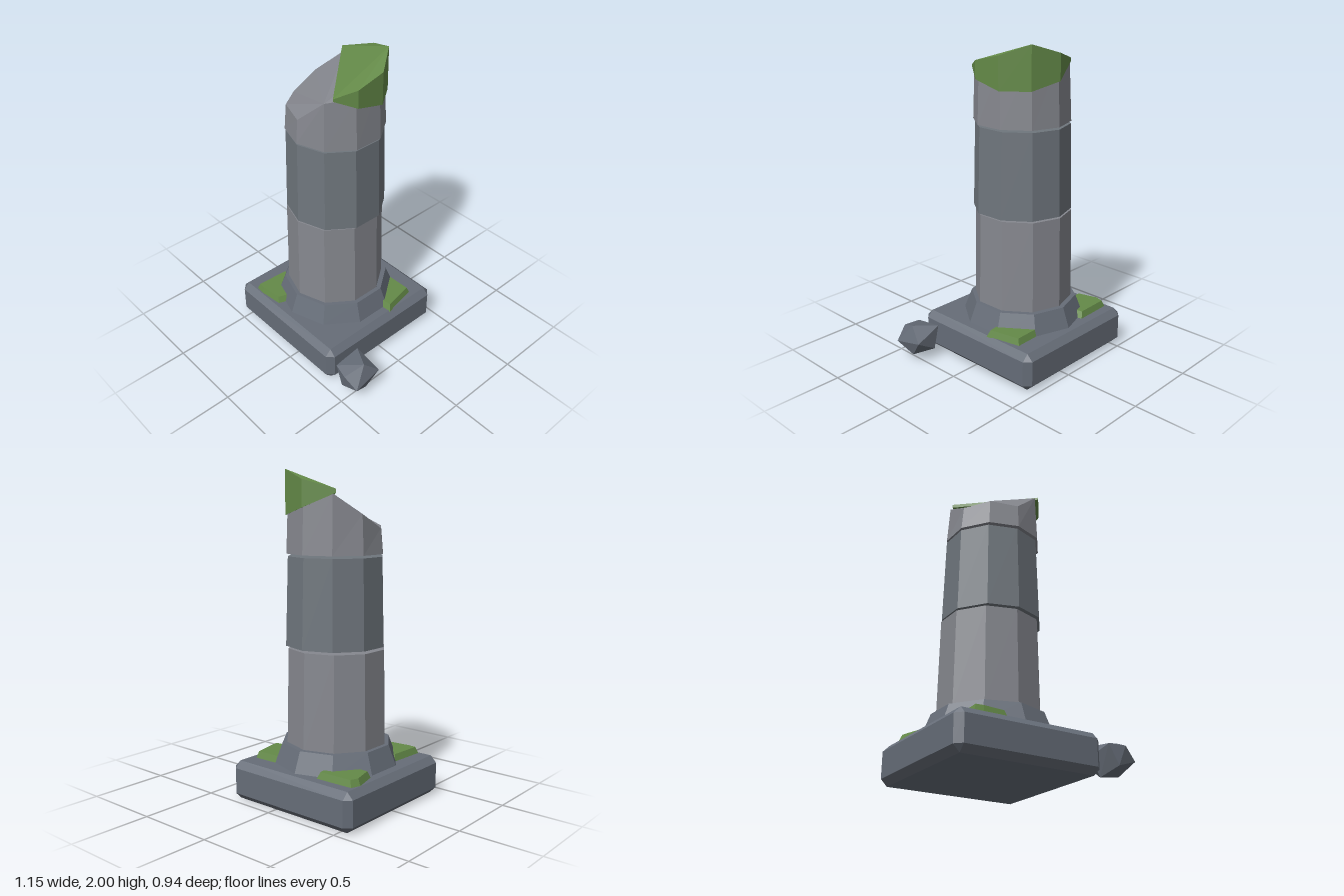
import * as THREE from 'three';
import { ConvexGeometry } from 'three/addons/geometries/ConvexGeometry.js';

const SIDES = 10;
const mat = (color) => new THREE.MeshStandardMaterial({ color, flatShading: true });

// Ring of points; heights is one number or one per corner
function ring(cx, cz, r, heights) {
  return Array.from({ length: SIDES }, (_, k) => {
    const a = (k / SIDES) * Math.PI * 2;
    const y = Array.isArray(heights) ? heights[k] : heights;
    return [cx + r * Math.sin(a), y, cz + r * Math.cos(a)];
  });
}

// Closed solid between two loops; each end is fanned from corner `fan`
function loft(bottom, top, fan = 0) {
  const n = bottom.length;
  const pos = [];
  const tri = (a, b, c) => pos.push(...a, ...b, ...c);
  for (let i = 0; i < n; i++) {
    const j = (i + 1) % n;
    tri(bottom[i], bottom[j], top[j]);
    tri(bottom[i], top[j], top[i]);
  }
  for (let i = 1; i < n - 1; i++) {
    const p = (fan + i) % n, q = (fan + i + 1) % n;
    tri(top[fan], top[p], top[q]);
    tri(bottom[fan], bottom[q], bottom[p]);
  }
  const geo = new THREE.BufferGeometry();
  geo.setAttribute('position', new THREE.Float32BufferAttribute(pos, 3));
  geo.computeVertexNormals();
  return geo;
}

const hull = (points) => new ConvexGeometry(points.map((p) => new THREE.Vector3(...p)));

// Box with every edge chamfered by t
function chamferBox(hx, hy, hz, t) {
  const pts = [];
  for (const x of [-1, 1]) for (const y of [-1, 1]) for (const z of [-1, 1]) {
    pts.push([x * hx, y * (hy - t), z * (hz - t)]);
    pts.push([x * (hx - t), y * hy, z * (hz - t)]);
    pts.push([x * (hx - t), y * (hy - t), z * hz]);
  }
  return hull(pts);
}

// Low mound of moss on the plinth, from its [x, z] outline
function mossPatch(outline) {
  const n = outline.length;
  const cx = outline.reduce((s, p) => s + p[0], 0) / n;
  const cz = outline.reduce((s, p) => s + p[1], 0) / n;
  const pts = [];
  for (const [x, z] of outline) {
    pts.push([x, 0.235, z]);
    pts.push([cx + (x - cx) * 0.85, 0.28, cz + (z - cz) * 0.85]);
  }
  return hull(pts);
}

export function createModel() {
  const group = new THREE.Group();
  const darkStone = mat(0x666d78);
  const midStone = mat(0x6f767d);
  const lightStone = mat(0x86888f);
  const moss = mat(0x648a48);
  const add = (name, geo, material) => {
    const mesh = new THREE.Mesh(geo, material);
    mesh.name = name;
    group.add(mesh);
    return mesh;
  };

  // Plinth and flared collar
  add('plinth', chamferBox(0.46, 0.12, 0.46, 0.04), darkStone).position.set(-0.12, 0.12, -0.01);
  add('collar', loft(ring(-0.118, -0.01, 0.386, 0.24), ring(-0.118, -0.01, 0.338, 0.365)), darkStone);

  // Column drums, separated by narrow joints
  add('lowerDrum', loft(ring(-0.118, -0.006, 0.31, 0.36), ring(-0.118, -0.006, 0.3, 0.945)), lightStone);
  add('middleDrum', loft(ring(-0.107, -0.007, 0.306, 0.96), ring(-0.107, -0.007, 0.292, 1.495)), midStone);

  // Broken drum: slanted, jagged top
  const breakHeights = [1.66, 1.81, 1.83, 1.88, 1.93, 1.9, 1.86, 1.745, 1.66, 1.67];
  add('brokenDrum', loft(ring(-0.102, -0.005, 0.298, 1.51), ring(-0.1, -0.003, 0.284, breakHeights), 1), lightStone);

  // Moss cap over the high side of the break: x, z, bottom, top
  const cap = [
    [0.11, 0.2, 1.83, 1.845],
    [0.192, 0.09, 1.78, 1.89],
    [0.192, -0.095, 1.735, 1.935],
    [0.08, -0.245, 1.735, 2.0],
    [-0.1, -0.305, 1.78, 1.94],
    [-0.285, -0.225, 1.862, 1.885],
  ];
  add('mossCap', loft(
    cap.map(([x, z, b]) => [x, b, z]),
    cap.map(([x, z, , t]) => [x, t, z]),
    3,
  ), moss);

  // Moss patches tucked against the collar
  const patches = {
    mossBackRight: [[-0.54, -0.31], [-0.52, -0.37], [-0.27, -0.378], [-0.25, -0.28], [-0.34, -0.16], [-0.5, -0.16]],
    mossBackLeft: [[0.08, -0.325], [0.265, -0.33], [0.31, -0.1], [0.22, -0.09], [0.08, -0.25]],
    mossFrontRight: [[-0.44, 0.16], [-0.455, 0.4], [-0.4, 0.405], [-0.24, 0.388], [-0.21, 0.31], [-0.34, 0.18]],
  };
  for (const [name, outline] of Object.entries(patches)) add(name, mossPatch(outline), moss);

  // Fallen stone beside the plinth
  add('fallenStone', hull([
    [0.34, 0.13, 0.34], [0.385, 0.21, 0.26], [0.39, 0.19, 0.44], [0.53, 0.235, 0.34],
    [0.565, 0.15, 0.245], [0.575, 0.11, 0.44], [0.49, 0.185, 0.465], [0.54, 0.04, 0.33],
    [0.39, 0.015, 0.35], [0.43, 0.07, 0.25], [0.45, 0.07, 0.45],
  ]), darkStone);

  return group;
}
